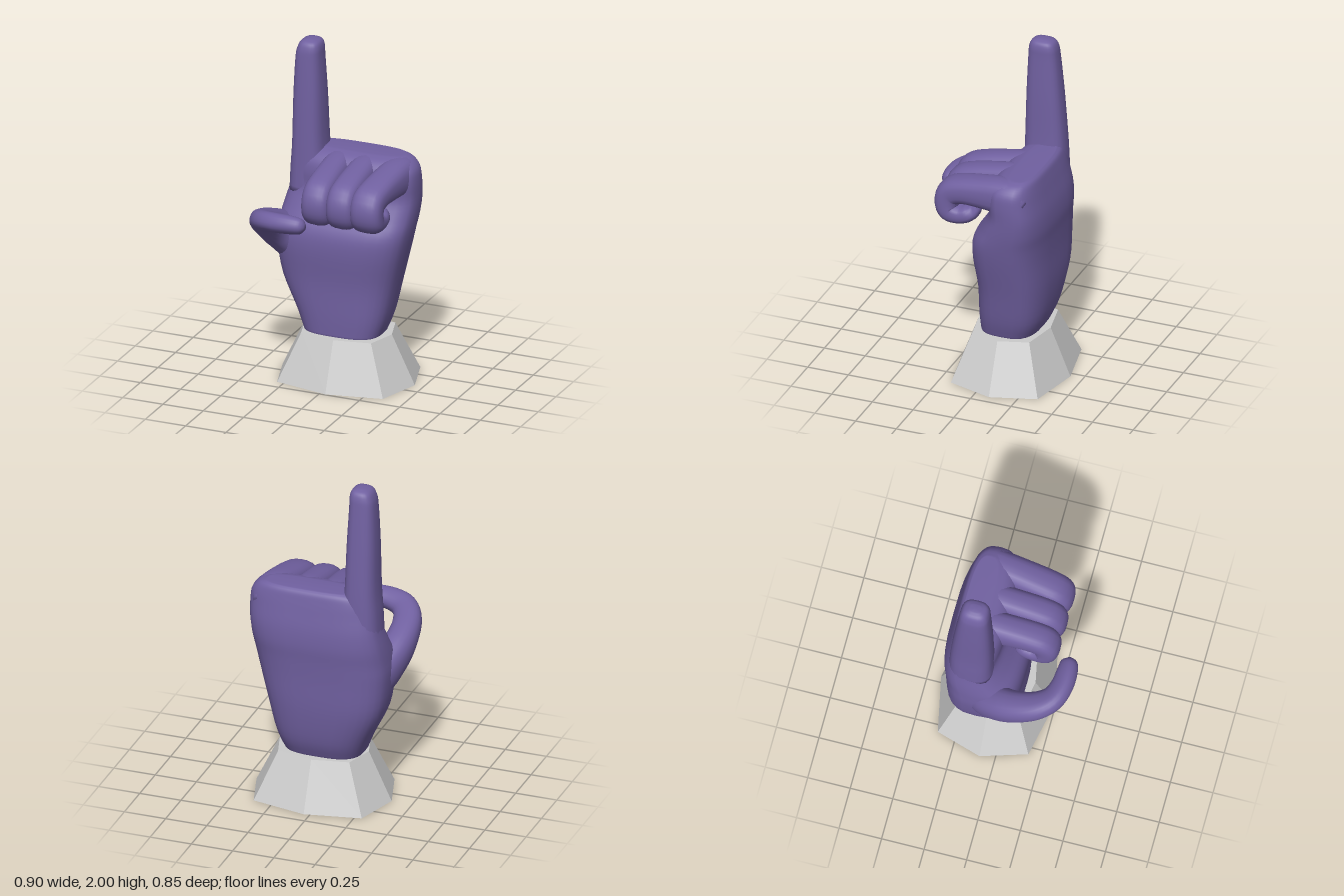
import * as THREE from 'three';

const X = new THREE.Vector3(1, 0, 0);
const Y = new THREE.Vector3(0, 1, 0);

// Skins superellipse rings along a path. Each section is
// [x, y, z, half size along side, half size across it].
function loft(sections, { side = X, axis = null, power = 2.3, sides = 24, steps = 4 } = {}) {
  const path = new THREE.CatmullRomCurve3(
    sections.map(s => new THREE.Vector3(s[0], s[1], s[2])), false, 'catmullrom', 0.5);
  const sizes = new THREE.CatmullRomCurve3(
    sections.map(s => new THREE.Vector3(s[3], s[4], 0)), false, 'catmullrom', 0.5);
  const rings = (sections.length - 1) * steps;
  const positions = [], indices = [];
  const bend = v => Math.sign(v) * Math.pow(Math.abs(v), 2 / power);

  for (let i = 0; i <= rings; i++) {
    const t = i / rings;
    const c = path.getPoint(t), size = sizes.getPoint(t);
    const dir = axis ? axis.clone() : path.getTangent(t);
    const s = side.clone().addScaledVector(dir, -side.dot(dir)).normalize();
    const n = dir.clone().cross(s);
    for (let j = 0; j < sides; j++) {
      const a = j / sides * Math.PI * 2;
      const p = c.clone()
        .addScaledVector(s, size.x * bend(Math.cos(a)))
        .addScaledVector(n, size.y * bend(Math.sin(a)));
      positions.push(p.x, p.y, p.z);
    }
  }
  for (let i = 0; i < rings; i++) {
    for (let j = 0; j < sides; j++) {
      const k = (j + 1) % sides;
      const a = i * sides + j, b = i * sides + k;
      indices.push(a, b, a + sides, b, b + sides, a + sides);
    }
  }
  // end caps
  const first = sections[0], last = sections[sections.length - 1];
  const start = positions.length / 3, end = start + 1, top = rings * sides;
  positions.push(first[0], first[1], first[2], last[0], last[1], last[2]);
  for (let j = 0; j < sides; j++) {
    const k = (j + 1) % sides;
    indices.push(start, k, j, end, top + j, top + k);
  }
  const g = new THREE.BufferGeometry();
  g.setAttribute('position', new THREE.Float32BufferAttribute(positions, 3));
  g.setIndex(indices);
  g.computeVertexNormals();
  return g;
}

export function createModel() {
  const model = new THREE.Group();
  model.name = 'pointingHand';
  const skin = new THREE.MeshStandardMaterial({ color: 0x7060a0 });
  const grey = new THREE.MeshStandardMaterial({ color: 0xcccccc, flatShading: true });
  const add = (name, geometry, material = skin) => {
    const mesh = new THREE.Mesh(geometry, material);
    mesh.name = name;
    model.add(mesh);
  };

  // Eight-sided tapered cuff
  add('cuff', loft([
    [0.035, 0, -0.09, 0.41, 0.333],
    [0.035, 0.29, -0.085, 0.27, 0.217],
  ], { axis: Y, power: 3.1, sides: 8, steps: 1 }).toNonIndexed(), grey);

  // Wrist, palm and back of the hand
  add('palm', loft([
    [0.02, 0.27, -0.08, 0.225, 0.165],
    [0.015, 0.40, -0.105, 0.275, 0.195],
    [-0.01, 0.60, -0.12, 0.345, 0.212],
    [0.0, 0.80, -0.115, 0.385, 0.225],
    [0.015, 0.92, -0.125, 0.395, 0.222],
    [0.03, 1.02, -0.16, 0.395, 0.195],
    [0.045, 1.12, -0.183, 0.388, 0.166],
    [0.055, 1.22, -0.175, 0.38, 0.155],
    [0.06, 1.29, -0.175, 0.365, 0.14],
    [0.065, 1.335, -0.19, 0.32, 0.112],
    [0.07, 1.355, -0.21, 0.26, 0.07],
  ], { axis: Y, power: 3, sides: 32 }));

  // Raised index finger
  add('indexFinger', loft([
    [-0.22, 1.08, -0.17, 0.125, 0.13],
    [-0.23, 1.22, -0.17, 0.108, 0.125],
    [-0.232, 1.38, -0.168, 0.095, 0.12],
    [-0.232, 1.65, -0.161, 0.088, 0.106],
    [-0.231, 1.88, -0.155, 0.077, 0.09],
    [-0.226, 1.95, -0.154, 0.07, 0.082],
    [-0.222, 1.985, -0.154, 0.054, 0.065],
    [-0.22, 2.0, -0.154, 0.022, 0.03],
  ], { axis: Y, power: 2.8 }));

  // Three curled fingers: knuckle x, fingertip x, half width
  const curl = [ // y, z, half thickness, width factor
    [1.20, -0.26, 0.06, 0.8],
    [1.235, -0.20, 0.105, 1],
    [1.243, -0.12, 0.106, 1],
    [1.238, 0.0, 0.092, 1],
    [1.225, 0.12, 0.08, 1],
    [1.195, 0.198, 0.08, 1],
    [1.135, 0.22, 0.075, 1],
    [1.083, 0.203, 0.068, 1],
    [1.068, 0.14, 0.055, 0.95],
    [1.085, 0.085, 0.05, 0.88],
    [1.108, 0.055, 0.035, 0.6],
    [1.118, 0.045, 0.012, 0.2],
  ];
  [
    ['middleFinger', -0.035, -0.028, 0.086],
    ['ringFinger', 0.13, 0.125, 0.086],
    ['littleFinger', 0.325, 0.283, 0.095],
  ].forEach(([name, knuckle, tip, width]) => {
    add(name, loft(curl.map(([y, z, thick, w]) => {
      const k = THREE.MathUtils.clamp((z + 0.2) / 0.4, 0, 1);
      const x = y < 1.15 && z > 0 ? tip : THREE.MathUtils.lerp(knuckle, tip, k);
      return [x, y, z, width * w, thick];
    }), { power: 2.6 }));
  });

  // Thumb, sweeping out from the palm and across the front
  add('thumb', loft([
    [-0.23, 0.68, -0.10, 0.09, 0.10],
    [-0.29, 0.80, -0.06, 0.125, 0.115],
    [-0.345, 0.88, 0.03, 0.11, 0.098],
    [-0.363, 0.945, 0.13, 0.088, 0.088],
    [-0.35, 1.0, 0.235, 0.068, 0.082],
    [-0.30, 1.035, 0.315, 0.058, 0.075],
    [-0.215, 1.05, 0.352, 0.056, 0.067],
    [-0.12, 1.055, 0.36, 0.052, 0.06],
    [-0.065, 1.052, 0.355, 0.042, 0.048],
    [-0.042, 1.05, 0.352, 0.016, 0.02],
  ], { side: new THREE.Vector3(0, 0.85, -0.53) }));

  return model;
}
